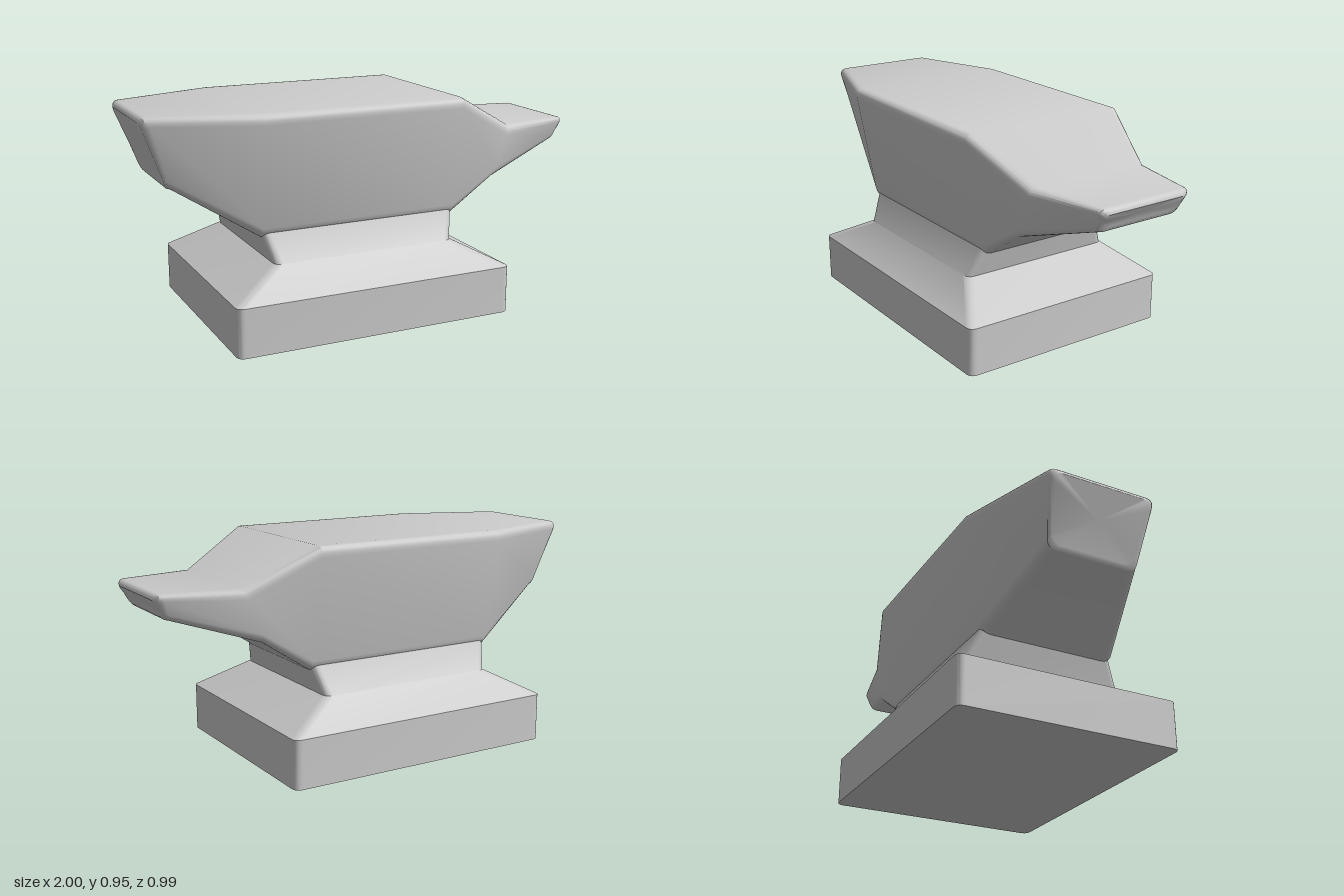
import * as THREE from 'three';
import { toCreasedNormals } from 'three/addons/utils/BufferGeometryUtils.js';

const material = new THREE.MeshStandardMaterial({ color: 0xcccccc });

// Replaces each corner of a closed outline with a small arc.
function roundCorners(corners, radius, steps = 5) {
  const n = corners.length;
  return corners.flatMap((corner, i) => {
    const before = corners[(i + n - 1) % n].clone().sub(corner).setLength(radius).add(corner);
    const after = corners[(i + 1) % n].clone().sub(corner).setLength(radius).add(corner);
    return new THREE.QuadraticBezierCurve3(before, corner, after).getPoints(steps);
  });
}

// Skins a row of equal-length rings and closes both ends.
function loft(rings, crease) {
  const positions = [];
  const tri = (...points) => points.forEach((p) => positions.push(p.x, p.y, p.z));
  const n = rings[0].length;
  const centre = (ring) => ring.reduce((sum, p) => sum.add(p), new THREE.Vector3()).divideScalar(n);
  const first = rings[0], last = rings[rings.length - 1];
  const start = centre(first), end = centre(last);
  for (let j = 0; j < n; j++) {
    const k = (j + 1) % n;
    for (let i = 0; i < rings.length - 1; i++) {
      const a = rings[i], b = rings[i + 1];
      tri(a[j], a[k], b[k]);
      tri(a[j], b[k], b[j]);
    }
    tri(start, first[k], first[j]);
    tri(end, last[j], last[k]);
  }
  const geometry = new THREE.BufferGeometry();
  geometry.setAttribute('position', new THREE.Float32BufferAttribute(positions, 3));
  return toCreasedNormals(geometry, crease);
}

// Horizontal ring of the foot.
function footRing([y, left, right, halfDepth, radius]) {
  const corners = [[left, 1], [right, 1], [right, -1], [left, -1]];
  return roundCorners(corners.map(([x, s]) => new THREE.Vector3(x, y, s * halfDepth)), radius);
}

// Upright, slanted trapezoid ring of the body; shift and inset round off the ends.
function bodyRing([topX, topY, topHalf, lowX, lowY, lowHalf, radius], shift = 0, inset = 0) {
  const top = (s) => new THREE.Vector3(topX + shift, topY - inset, s * (topHalf - inset));
  const low = (s) => new THREE.Vector3(lowX + shift, lowY + inset, s * (lowHalf - inset));
  return roundCorners([top(-1), top(1), low(1), low(-1)], radius);
}

function createModel() {
  const group = new THREE.Group();
  const add = (name, geometry) => {
    const mesh = new THREE.Mesh(geometry, material);
    mesh.name = name;
    group.add(mesh);
  };

  // Foot block tapering to the waist, then flaring up to the body.
  add('foot', loft([
    [0, -0.715, 0.55, 0.495, 0.035],
    [0.21, -0.715, 0.55, 0.495, 0.035],
    [0.325, -0.5, 0.33, 0.36, 0.035],
    [0.45, -0.535, 0.365, 0.303, 0.035],
  ].map(footRing), 0.5));

  // Body from heel to horn: top x, y, half width; bottom x, y, half width; corner radius.
  const heel = [-0.975, 0.952, 0.252, -0.875, 0.642, 0.205, 0.04];
  const back = [-0.54, 0.955, 0.395, -0.53, 0.425, 0.305, 0.045];
  const front = [0.36, 0.955, 0.395, 0.36, 0.425, 0.305, 0.045];
  const step = [0.66, 0.795, 0.295, 0.57, 0.565, 0.298, 0.045];
  const tip = [0.975, 0.795, 0.228, 0.935, 0.682, 0.2, 0.03];
  const edge = 0.025;
  const angles = [1, 2 / 3, 1 / 3].map((t) => t * Math.PI / 2);
  const ending = (section, direction) => angles.map((a) =>
    bodyRing(section, direction * edge * Math.sin(a), edge * (1 - Math.cos(a))));
  add('body', loft([
    ...ending(heel, -1),
    ...[heel, back, front, step, tip].map((section) => bodyRing(section)),
    ...ending(tip, 1).reverse(),
  ], 0.55));

  return group;
}

export { createModel };
